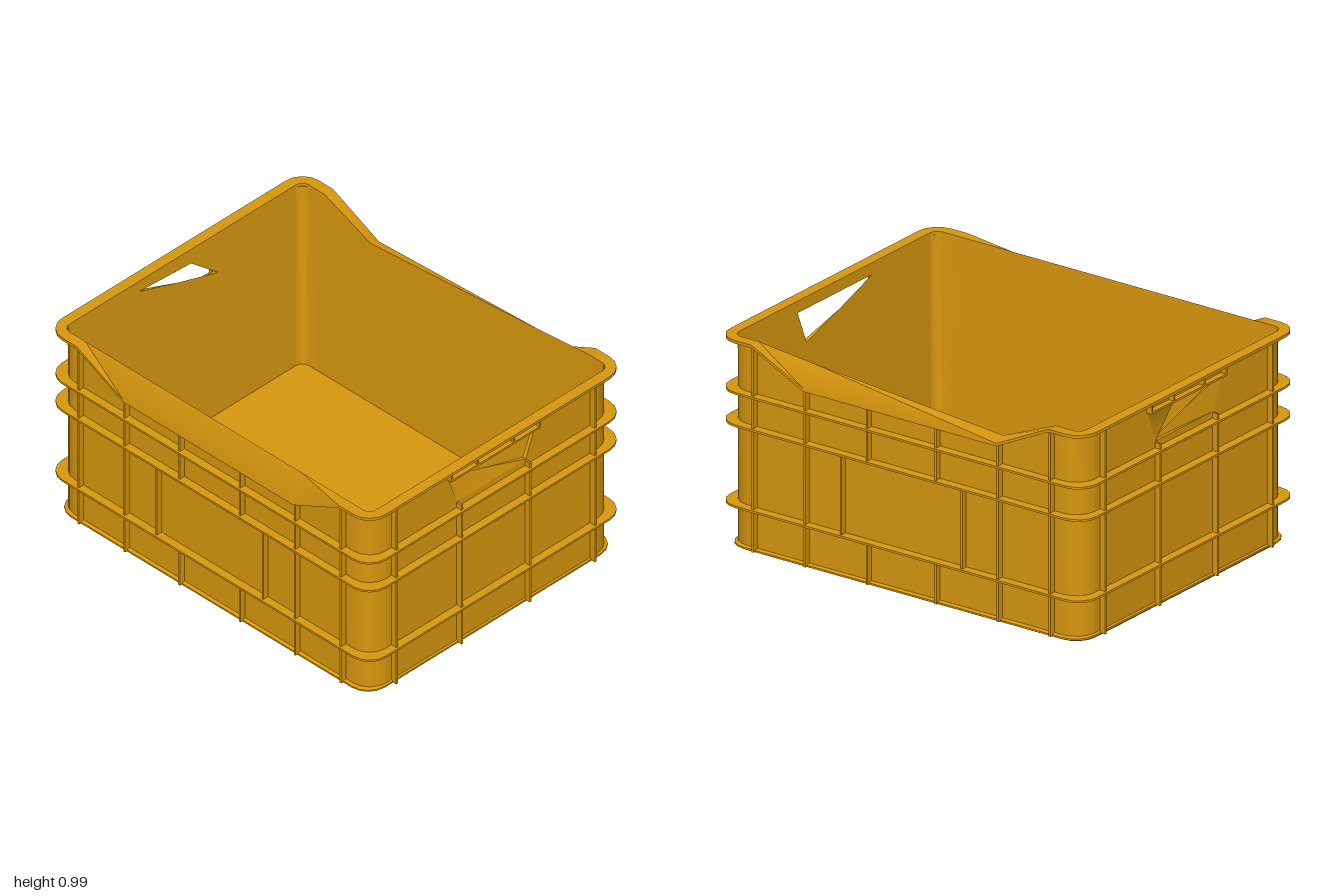
import * as THREE from 'three';
import { toCreasedNormals } from 'three/addons/utils/BufferGeometryUtils.js';

const plastic = new THREE.MeshStandardMaterial({ color: 0xd9980e, side: THREE.DoubleSide });
plastic.name = 'ochre plastic';

const OUT = { hx: 0.95, hz: 0.75, r: 0.1 };       // outer wall
const LIP = { hx: 0.988, hz: 0.788, r: 0.1 };     // flange edge
const IN_TOP = { hx: 0.935, hz: 0.735, r: 0.04 };
const IN_BOTTOM = { hx: 0.91, hz: 0.71, r: 0.04 };
const FLOOR = 0.025, TOP = 0.985;

// Rounded rectangle with extra stations on the front and back for the dips.
// Sides lie between stations 8-9 (+x) and 22-23 (-x).
function loop({ hx, hz, r }, y) {
  const pts = [];
  const add = (x, z) => pts.push([x, typeof y === 'function' ? y(pts.length) : y, z]);
  const corner = (sx, sz, from) => {
    for (let k = 0; k < 5; k++) {
      const a = from - (k / 4) * Math.PI / 2;
      add(sx * (hx - r) + r * Math.cos(a), sz * (hz - r) + r * Math.sin(a));
    }
  };
  const H = Math.PI / 2;
  [-0.8, -0.52, 0.52, 0.8].forEach(x => add(x, hz));
  corner(1, 1, H);
  corner(1, -1, 0);
  [0.8, 0.52, -0.52, -0.8].forEach(x => add(x, -hz));
  corner(-1, -1, -H);
  corner(-1, 1, -2 * H);
  return pts;
}

function finish(positions, name, crease = 0.6) {
  const g = new THREE.BufferGeometry();
  g.setAttribute('position', new THREE.Float32BufferAttribute(positions, 3));
  const mesh = new THREE.Mesh(toCreasedNormals(g, crease), plastic);
  mesh.name = name;
  return mesh;
}

// Skin between successive closed loops, optionally leaving out the two side faces
function loft(loops, name, skipSides = false) {
  const pos = [];
  for (let j = 0; j + 1 < loops.length; j++) {
    const p = loops[j], q = loops[j + 1], n = p.length;
    for (let i = 0; i < n; i++) {
      if (skipSides && (i === 8 || i === 22)) continue;
      const k = (i + 1) % n;
      pos.push(...p[i], ...q[i], ...q[k], ...p[i], ...q[k], ...p[k]);
    }
  }
  return finish(pos, name);
}

// Side face pierced by a handle opening; outline and hole are [z, y] points
function sidePanel(s, outline, hole, xAt, name) {
  const v2 = pts => pts.map(([z, y]) => new THREE.Vector2(-s * z, y));
  const shape = new THREE.Shape(v2(outline));
  shape.holes.push(new THREE.Path(v2(hole)));
  const g = new THREE.ShapeGeometry(shape);
  const p = g.attributes.position;
  for (let i = 0; i < p.count; i++) {
    const u = p.getX(i), y = p.getY(i);
    p.setXYZ(i, s * xAt(y), y, -s * u);
  }
  g.computeVertexNormals();
  const mesh = new THREE.Mesh(g, plastic);
  mesh.name = name;
  return mesh;
}

export function createModel() {
  const crate = new THREE.Group();
  crate.name = 'crate';

  // Dipped rim heights along the outside and inside
  const lipY = i => ([1, 2, 15, 16].includes(i) ? 0.85 : TOP);
  const underY = i => lipY(i) - 0.014;
  const innerY = i => (i === 16 ? 0.87 : i === 15 ? 0.957 : TOP);

  // Walls, rim and floor
  crate.add(
    loft([loop(IN_BOTTOM, FLOOR), loop(IN_TOP, innerY)], 'innerWall', true),
    loft([loop(IN_TOP, innerY), loop(LIP, lipY), loop(LIP, underY), loop(OUT, underY)], 'rim'),
    loft([loop(OUT, underY), loop(OUT, 0)], 'outerWall', true));
  for (const [size, y, name] of [[IN_BOTTOM, FLOOR, 'floor'], [OUT, 0, 'underside']]) {
    const ring = loop(size, y);
    const centre = ring.map(() => [0, y, 0]);
    crate.add(loft(y ? [centre, ring] : [ring, centre], name));
  }

  // Side walls with handle openings; the inner opening is partly closed off
  const handle = [[0.27, 0.93], [-0.27, 0.93], [-0.21, 0.775], [0.21, 0.775]];
  const innerX = y => IN_BOTTOM.hx + (IN_TOP.hx - IN_BOTTOM.hx) * (y - FLOOR) / (TOP - FLOOR);
  for (const s of [1, -1]) {
    const inner = [[0.27, 0.93], s > 0 ? [-0.27, 0.93] : [-0.05, 0.91], [-0.21, 0.775], [0.03, 0.85]];
    const t = TOP - 0.014;
    crate.add(
      sidePanel(s, [[-0.65, 0], [0.65, 0], [0.65, t], [-0.65, t]], handle, () => OUT.hx, 'outerSide'),
      sidePanel(s, [[-0.67, FLOOR], [0.67, FLOOR], [0.695, TOP], [-0.695, TOP]], inner, innerX, 'innerSide'));
    const a = handle.map(([z, y]) => [s * OUT.hx, y, z]);
    const b = inner.map(([z, y]) => [s * innerX(y), y, z]);
    crate.add(loft(s > 0 ? [a, b] : [b, a], 'handleReveal'));
  }

  // Horizontal bands
  for (const y of [0.2, 0.58, 0.732]) {
    crate.add(loft([loop(OUT, y + 0.012), loop(LIP, y + 0.01), loop(LIP, y), loop(OUT, y - 0.002)], 'band'));
  }
  const FOOT = { hx: 0.957, hz: 0.765, r: 0.1 };
  crate.add(loft([loop(OUT, 0.022), loop(FOOT, 0.016), loop(FOOT, 0.008), loop(OUT, 0)], 'footBand'));

  // Upright ribs
  const D = 0.028;
  const bar = (w, h, d, x, y, z, name) => {
    const m = new THREE.Mesh(new THREE.BoxGeometry(w, h, d), plastic);
    m.position.set(x, y, z);
    m.name = name;
    crate.add(m);
  };
  const longRibs = [
    [0.8, 0.01, 0.97], [0.52, 0.01, 0.84], [0.185, 0.01, 0.2],
    [0.325, 0.2, 0.585], [0.185, 0.585, 0.84]];
  const shortRibs = [[0.61, 0.01, 0.975], [0.21, 0.01, 0.77], [0.11, 0.93, 0.975], [0.27, 0.93, 0.975]];
  for (const s of [1, -1]) for (const m of [1, -1]) {
    for (const [x, y0, y1] of longRibs)
      bar(0.01, y1 - y0, D, m * x, (y0 + y1) / 2, s * (OUT.hz + D / 2), 'longSideRib');
    for (const [z, y0, y1] of shortRibs)
      bar(D, y1 - y0, 0.01, s * (OUT.hx + D / 2), (y0 + y1) / 2, m * z, 'shortSideRib');
  }

  // Ledges above the handles
  for (const s of [1, -1]) bar(D, 0.01, 0.55, s * (OUT.hx + D / 2), 0.932, 0, 'handleLedge');

  return crate;
}
